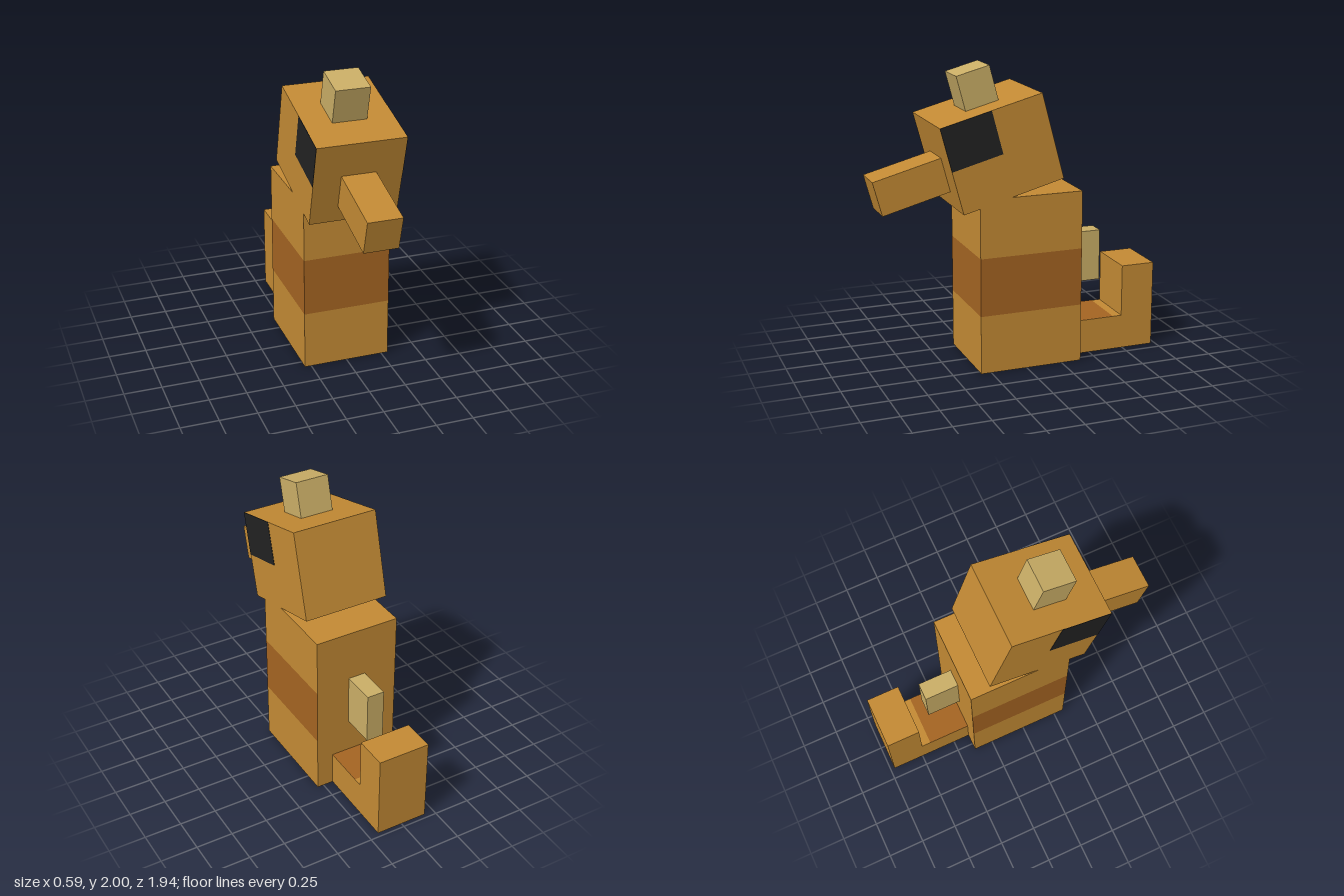
import * as THREE from 'three';

const makeMaterial = (name, color) => {
  const m = new THREE.MeshStandardMaterial({ color });
  m.name = name;
  return m;
};

export function createModel() {
  const ochre = makeMaterial('ochre', 0xc38a34);
  const brown = makeMaterial('brown', 0xa46422);
  const tan = makeMaterial('tan', 0xcaae66);
  const black = makeMaterial('black', 0x222222);

  const model = new THREE.Group();
  model.name = 'blockCreature';

  // Box given by its min and max corners
  const box = (parent, name, material, [x0, y0, z0], [x1, y1, z1]) => {
    const mesh = new THREE.Mesh(new THREE.BoxGeometry(x1 - x0, y1 - y0, z1 - z0), material);
    mesh.position.set((x0 + x1) / 2, (y0 + y1) / 2, (z0 + z1) / 2);
    mesh.name = name;
    parent.add(mesh);
  };

  // Flat painted patch facing up (dir 1) or down (dir -1)
  const patch = (name, x0, x1, z0, z1, y, dir) => {
    const mesh = new THREE.Mesh(new THREE.PlaneGeometry(x1 - x0, z1 - z0), brown);
    mesh.rotation.x = -dir * Math.PI / 2;
    mesh.position.set((x0 + x1) / 2, y + dir * 0.0015, (z0 + z1) / 2);
    mesh.name = name;
    model.add(mesh);
  };

  // Body: the band runs round the front and sides, the back stays plain
  const W = 0.295, back = -0.385, front = 0.32;
  box(model, 'lowerBody', ochre, [-W, 0, back], [W, 0.395, front]);
  box(model, 'bodyBand', [brown, brown, brown, brown, brown, ochre], [-W, 0.395, back], [W, 0.785, front]);
  box(model, 'upperBody', ochre, [-W, 0.785, back], [W, 1.175, front]);
  patch('bodyUndersidePatch', 0, W, back, -0.08, 0, -1);

  // Tail: L-shaped side profile (u runs backwards) extruded across x
  const profile = new THREE.Shape(
    [[0.385, 0], [0.97, 0], [0.97, 0.59], [0.738, 0.59], [0.738, 0.235], [0.385, 0.235]]
      .map(([u, v]) => new THREE.Vector2(u, v)));
  const tailGeometry = new THREE.ExtrudeGeometry(profile, { depth: 0.36, bevelEnabled: false });
  tailGeometry.translate(0, 0, -0.18).rotateY(Math.PI / 2);
  const tail = new THREE.Mesh(tailGeometry, ochre);
  tail.name = 'tail';
  model.add(tail);
  patch('tailTopPatch', -0.18, 0.18, -0.675, back, 0.235, 1);
  patch('tailUndersidePatch', -0.18, 0.18, -0.97, -0.7, 0, -1);

  // Fin on the back
  box(model, 'backFin', tan, [-0.06, 0.475, -0.62], [0.06, 0.825, back]);

  // Head, tipped forward
  const head = new THREE.Group();
  head.name = 'head';
  head.position.set(0, 1.4625, 0.165);
  head.rotation.x = Math.PI / 12;
  model.add(head);
  box(head, 'skull', ochre, [-W, -0.293, -0.352], [W, 0.293, 0.352]);
  box(head, 'snout', ochre, [-0.115, -0.177, 0.352], [0.115, 0.057, 0.819]);
  box(head, 'crest', tan, [-0.115, 0.293, -0.115], [0.115, 0.528, 0.115]);

  // Eyes on both sides, as thin plates
  for (const side of [-1, 1]) {
    const eye = new THREE.Mesh(new THREE.BoxGeometry(0.004, 0.293, 0.352), black);
    eye.position.set(side * W, 0.1465, 0.176);
    eye.name = side > 0 ? 'leftEye' : 'rightEye';
    head.add(eye);
  }

  return model;
}
